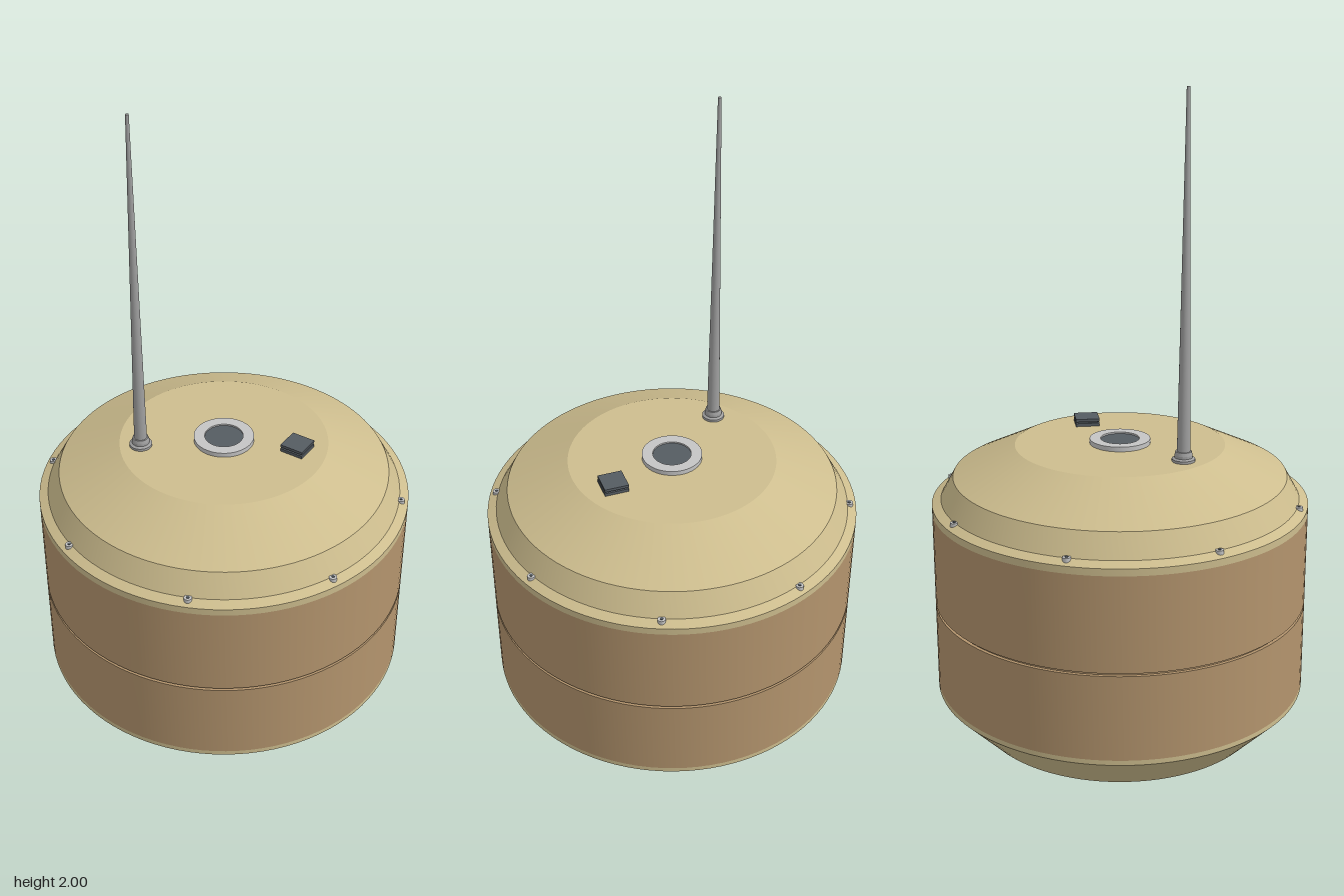
import * as THREE from 'three';
import { toCreasedNormals } from 'three/addons/utils/BufferGeometryUtils.js';

const material = (name, color, side = THREE.FrontSide) => {
  const m = new THREE.MeshStandardMaterial({ color, side });
  m.name = name;
  return m;
};

export function createModel() {
  const tan = material('tan shell', 0xcdbd8e);
  const brown = material('brown side', 0xb3946d);
  const silver = material('silver metal', 0xc4c4c4, THREE.DoubleSide);
  const grey = material('antenna grey', 0xa0a0a0);
  const dark = material('dark plastic', 0x555c62);
  const model = new THREE.Group();

  const add = (name, geometry, mat, x = 0, y = 0, z = 0, parent = model) => {
    const mesh = new THREE.Mesh(geometry, mat);
    mesh.name = name;
    mesh.position.set(x, y, z);
    parent.add(mesh);
    return mesh;
  };
  // Revolved profile of [radius, height] pairs, sharp at the profile corners
  const turned = (points, sides = 96) => toCreasedNormals(
    new THREE.LatheGeometry(points.map(([r, y]) => new THREE.Vector2(r, y)), sides), 0.2);

  // Shell: tapered base, side wall with a seam groove, domed lid
  add('base', turned([[0.095, 0], [0.46, 0], [0.585, 0.13], [0.585, 0.145]]), tan);
  add('sideWall', turned([
    [0.585, 0.145], [0.585, 0.411], [0.575, 0.411], [0.575, 0.42], [0.585, 0.42], [0.585, 0.715],
  ]), brown);
  add('lid', turned([
    [0.585, 0.715], [0.585, 0.737], [0.557, 0.75], [0.518, 0.82], [0.325, 0.912], [0, 0.912],
  ]), tan);

  // Central bore, open at the bottom
  add('bore', new THREE.CylinderGeometry(0.095, 0.095, 0.9, 48, 1, true), silver, 0, 0.45, 0);
  const boreEnd = add('boreEnd', new THREE.CircleGeometry(0.095, 48), silver, 0, 0.9, 0);
  boreEnd.rotation.x = Math.PI / 2;

  // Top port: raised ring around a dark grille
  add('portRing', turned([[0.094, 0.912], [0.094, 0.927], [0.06, 0.927], [0.06, 0.912]], 48), silver);
  add('portGrille', new THREE.CylinderGeometry(0.06, 0.06, 0.008, 48), dark, 0, 0.918, 0);

  // Square connector: two stacked plates with a narrower neck
  const connector = new THREE.Group();
  connector.name = 'connector';
  connector.position.set(0.217, 0.912, -0.081);
  model.add(connector);
  add('connectorFoot', new THREE.BoxGeometry(0.076, 0.01, 0.076), dark, 0, 0.005, 0, connector);
  add('connectorNeck', new THREE.BoxGeometry(0.062, 0.005, 0.062), dark, 0, 0.0125, 0, connector);
  add('connectorCap', new THREE.BoxGeometry(0.076, 0.009, 0.076), dark, 0, 0.0195, 0, connector);

  // Tapered whip antenna on a stepped collar
  const antenna = new THREE.Group();
  antenna.name = 'antenna';
  antenna.position.set(-0.2, 0, 0.165);
  model.add(antenna);
  add('antennaCollar', turned([
    [0.035, 0.912], [0.035, 0.92], [0.027, 0.924], [0.027, 0.932], [0.024, 0.943], [0, 0.943],
  ], 32), grey, 0, 0, 0, antenna);
  add('antennaWhip', new THREE.CylinderGeometry(0.005, 0.02, 1.06, 24), grey, 0, 1.47, 0, antenna);

  // Eight rim screws, each with a dark socket
  for (let i = 0; i < 8; i++) {
    const a = (i + 0.5) * Math.PI / 4;
    const x = 0.562 * Math.cos(a), z = 0.562 * Math.sin(a);
    add('screw', new THREE.CylinderGeometry(0.012, 0.012, 0.016, 16), silver, x, 0.747, z);
    add('screwSocket', new THREE.CylinderGeometry(0.005, 0.005, 0.002, 6), dark, x, 0.756, z);
  }
  return model;
}
